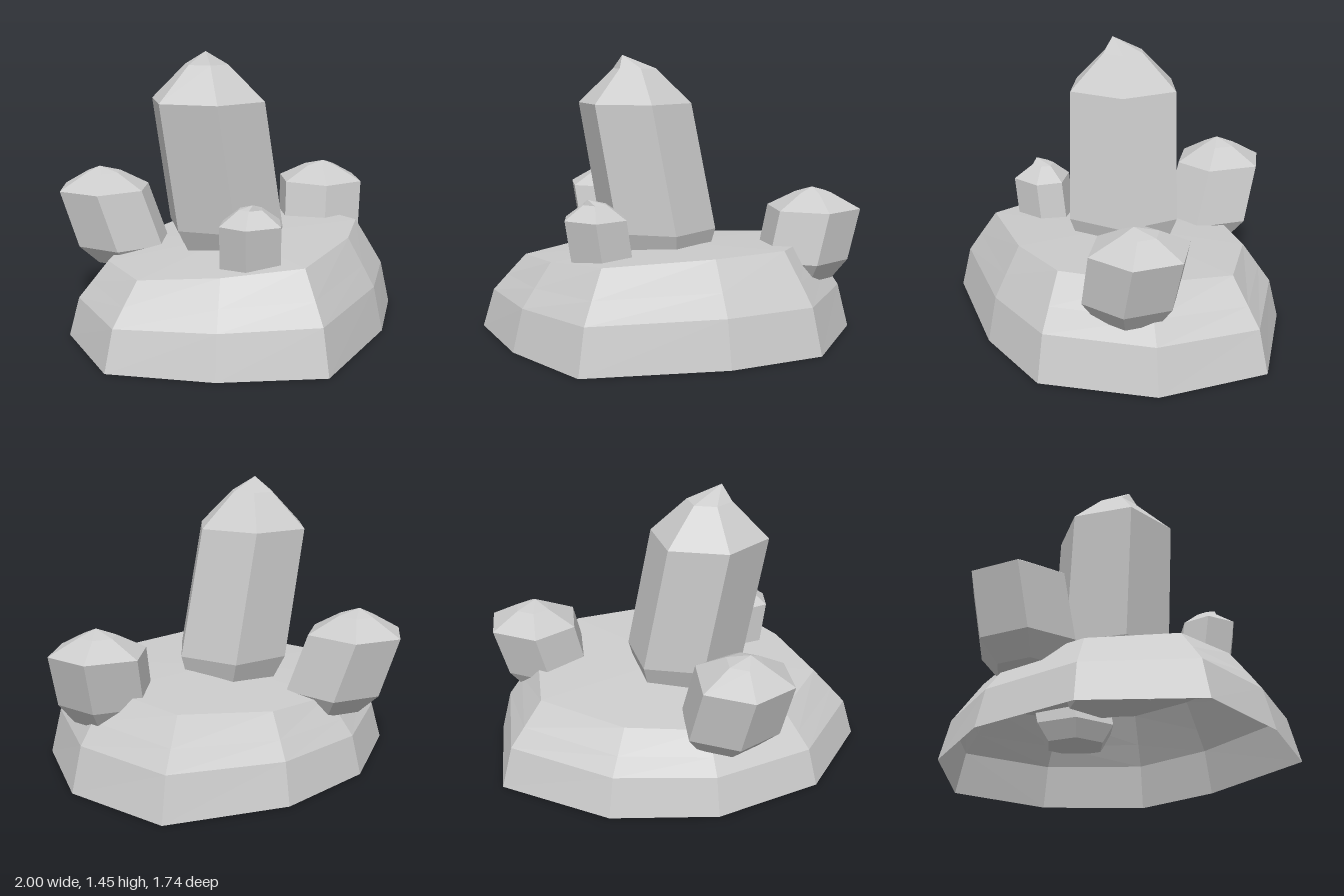
import * as THREE from 'three';

const stone = new THREE.MeshStandardMaterial({ color: 0xcccccc, flatShading: true, side: THREE.DoubleSide });
stone.name = 'pale grey stone';

// Skins a stack of rings (bottom to top, equal point counts) with flat facets.
function loft(rings, name) {
  const pos = [];
  const tri = (a, b, c) => {
    const area = new THREE.Triangle(a, b, c).getArea();
    if (area > 1e-8) for (const p of [a, b, c]) pos.push(p.x, p.y, p.z);
  };
  for (let j = 0; j < rings.length - 1; j++) {
    const lo = rings[j], hi = rings[j + 1], n = lo.length;
    for (let i = 0; i < n; i++) {
      const k = (i + 1) % n;
      tri(lo[i], hi[i], lo[k]);
      tri(lo[k], hi[i], hi[k]);
    }
  }
  const geo = new THREE.BufferGeometry();
  geo.setAttribute('position', new THREE.Float32BufferAttribute(pos, 3));
  geo.computeVertexNormals();
  const mesh = new THREE.Mesh(geo, stone);
  mesh.name = name;
  return mesh;
}

// Rock mound: an uneven ten-sided outline, stepped inwards, with a tilted top and open underside.
function makeMound() {
  const outline = [
    [0.97, 0], [0.75, 0.54], [0.3, 0.75], [-0.4, 0.87], [-0.76, 0.49],
    [-1, 0.02], [-0.75, -0.49], [-0.25, -0.77], [0.29, -0.8], [0.86, -0.56],
  ];
  // scale, height, tilt along x, tilt along z
  const steps = [
    [1, 0, 0, 0],
    [0.94, 0.215, 0.015, 0.02],
    [0.865, 0.31, 0.03, 0.04],
    [0.765, 0.435, 0.055, 0.07],
    [0, 0.46, 0, 0],
  ];
  const rings = steps.map(([s, y, tx, tz]) =>
    outline.map(([x, z]) => new THREE.Vector3(x * s, y + tx * x * s + tz * z * s, z * s)));
  return loft(rings, 'rockMound');
}

// Six-sided crystal: shoulder outline, leaning body, tapered root and a two-step point.
function makeCrystal({ name, shoulder, shoulderY, tip, lower, root }) {
  const n = shoulder.length;
  const cx = shoulder.reduce((t, p) => t + p[0], 0) / n;
  const cz = shoulder.reduce((t, p) => t + p[1], 0) / n;
  const ring = (s, y, dx = 0, dz = 0) => shoulder.map(([x, z]) =>
    new THREE.Vector3(cx + (x - cx) * s + dx, y, cz + (z - cz) * s + dz));
  const crownY = shoulderY + (tip[1] - shoulderY) * 0.72;
  const point = shoulder.map(() => new THREE.Vector3(...tip));
  return loft([
    ring(0, root.y, root.dx, root.dz),
    ring(root.s, root.y, root.dx, root.dz),
    ring(lower.s, lower.y, lower.dx, lower.dz),
    ring(1, shoulderY),
    ring(0.38, crownY),
    point,
  ], name);
}

const crystals = [
  {
    name: 'tallCrystal', shoulderY: 1.2, tip: [-0.24, 1.45, 0.01],
    shoulder: [[0.12, 0.02], [-0.08, 0.26], [-0.37, 0.19], [-0.48, -0.09], [-0.28, -0.32], [0.02, -0.28]],
    lower: { s: 1.03, y: 0.54, dx: 0.12, dz: 0.02 },
    root: { s: 0.7, y: 0.3, dx: 0.15, dz: 0.03 },
  },
  {
    name: 'leftCrystal', shoulderY: 0.66, tip: [0.75, 0.77, 0.08],
    shoulder: [[0.995, 0.13], [0.81, 0.3], [0.57, 0.22], [0.53, -0.03], [0.71, -0.2], [0.95, -0.11]],
    lower: { s: 0.98, y: 0.4, dx: -0.06, dz: 0.03 },
    root: { s: 0.7, y: 0.3, dx: -0.07, dz: 0.03 },
  },
  {
    name: 'backCrystal', shoulderY: 0.7, tip: [-0.38, 0.82, -0.62],
    shoulder: [[-0.12, -0.51], [-0.31, -0.38], [-0.55, -0.47], [-0.59, -0.71], [-0.4, -0.87], [-0.16, -0.79]],
    lower: { s: 1.02, y: 0.4, dx: 0.06, dz: 0.08 },
    root: { s: 0.7, y: 0.3, dx: 0.08, dz: 0.1 },
  },
  {
    name: 'smallFrontCrystal', shoulderY: 0.65, tip: [-0.39, 0.75, 0.42],
    shoulder: [[-0.2, 0.44], [-0.34, 0.55], [-0.5, 0.46], [-0.51, 0.31], [-0.39, 0.24], [-0.22, 0.3]],
    lower: { s: 1, y: 0.43, dx: 0.03, dz: -0.02 },
    root: { s: 0.7, y: 0.33, dx: 0.04, dz: -0.02 },
  },
];

export function createModel() {
  const group = new THREE.Group();
  group.name = 'crystalCluster';
  group.add(makeMound(), ...crystals.map(makeCrystal));
  return group;
}
